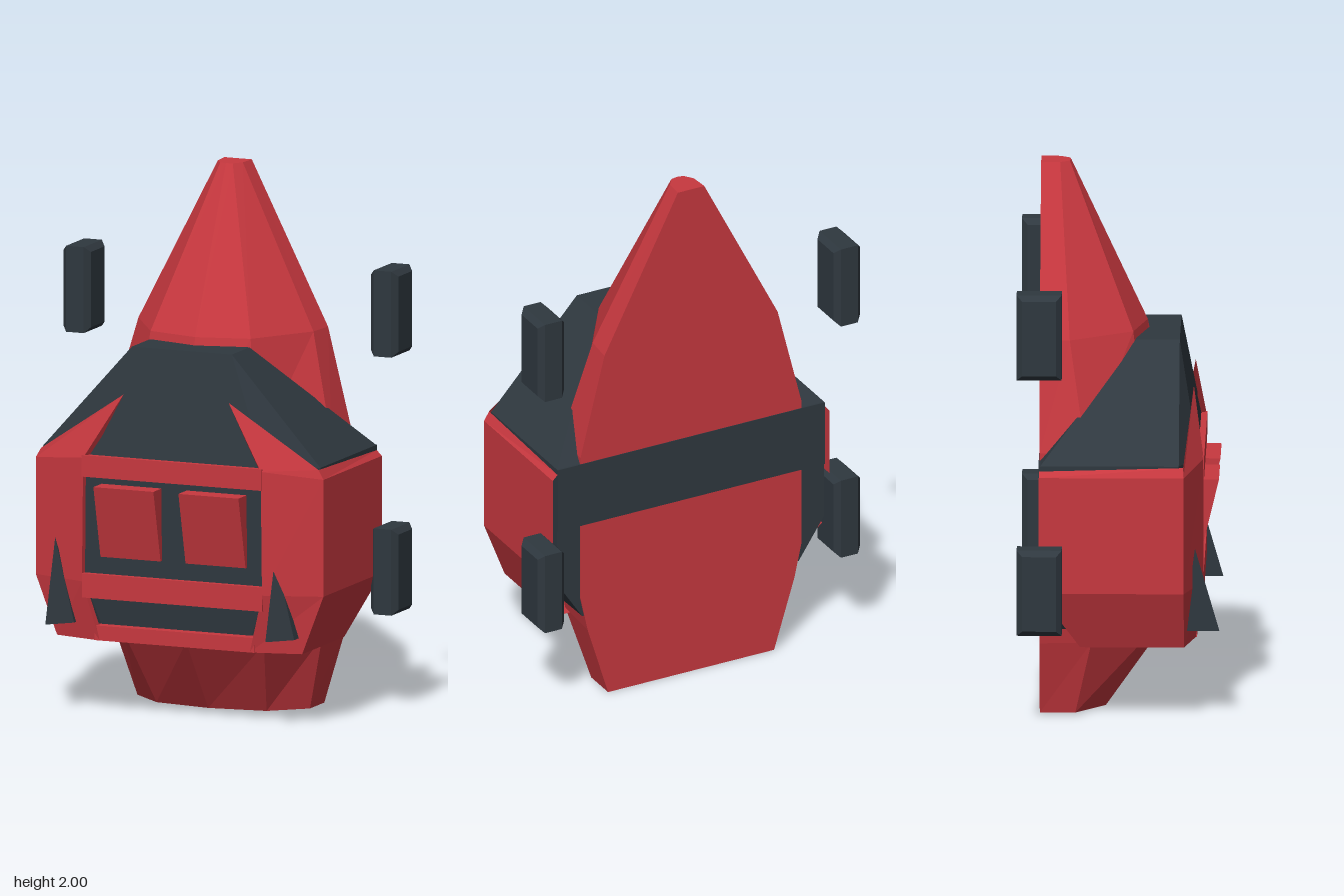
import * as THREE from 'three';
import { ConvexGeometry } from 'three/addons/geometries/ConvexGeometry.js';

const red = new THREE.MeshStandardMaterial({ color: 0xc8383f, side: THREE.DoubleSide });
red.name = 'red paint';
const dark = new THREE.MeshStandardMaterial({ color: 0x2f383f, side: THREE.DoubleSide });
dark.name = 'dark slate';

// Flat-shaded geometry from polygons, each split as a fan
function polygons(faces) {
  const pos = [];
  for (const f of faces) {
    for (let i = 1; i < f.length - 1; i++) pos.push(...f[0], ...f[i], ...f[i + 1]);
  }
  const g = new THREE.BufferGeometry();
  g.setAttribute('position', new THREE.Float32BufferAttribute(pos, 3));
  g.computeVertexNormals();
  return g;
}

// Quads between successive rows of points
function strips(rows) {
  const faces = [];
  for (let r = 0; r < rows.length - 1; r++) {
    const b = rows[r], t = rows[r + 1];
    for (let i = 0; i < b.length - 1; i++) faces.push([b[i + 1], b[i], t[i], t[i + 1]]);
  }
  return faces;
}

const flip = ([x, y, z]) => [-x, y, z];
const mirrorFaces = (faces) => faces.map((f) => f.map(flip).reverse());

// Convex solid, optionally mirrored across x
function solid(points, mirrored) {
  const all = mirrored ? [...points, ...points.map(flip)] : points;
  return new ConvexGeometry(all.map((p) => new THREE.Vector3(...p)));
}

export function createModel() {
  const model = new THREE.Group();
  const add = (name, geometry, material, x = 0, y = 0, z = 0) => {
    const mesh = new THREE.Mesh(geometry, material);
    mesh.name = name;
    mesh.position.set(x, y, z);
    model.add(mesh);
  };
  const box = (name, material, x0, x1, y0, y1, z0, z1) =>
    add(name, new THREE.BoxGeometry(x1 - x0, y1 - y0, z1 - z0), material,
      (x0 + x1) / 2, (y0 + y1) / 2, (z0 + z1) / 2);

  // Tapered hull: half sections [x, z] at each height, flat at the back
  const sections = [
    [0, [[0.345, -0.29], [0.345, -0.16], [0.22, -0.05], [0, -0.02]]],
    [0.28, [[0.43, -0.29], [0.42, -0.1], [0.28, 0.11], [0, 0.18]]],
    [0.42, [[0.46, -0.29], [0.45, -0.1], [0.28, 0.13], [0, 0.21]]],
    [1.0, [[0.46, -0.29], [0.45, -0.12], [0.25, 0.1], [0, 0.18]]],
    [1.4, [[0.36, -0.29], [0.35, -0.18], [0.2, 0.05], [0, 0.1]]],
    [2.0, [[0.055, -0.29], [0.05, -0.22], [0.025, -0.185], [0, -0.18]]],
  ];
  const rings = sections.map(([y, half]) => {
    const right = half.map(([x, z]) => [x, y, z]);
    return [...right, ...right.slice(0, -1).reverse().map(flip)];
  });
  const hullFaces = strips(rings.map((r) => [...r, r[0]]));
  hullFaces.push(rings[0], [...rings[rings.length - 1]].reverse());
  add('hull', polygons(hullFaces), red);

  // Dark cabin with sloping roof and windscreen
  add('cabin', solid([
    [0.45, 0.34, -0.285], [0.46, 0.34, 0.215], [0.3, 0.34, 0.27],
    [0.555, 0.5, -0.285], [0.555, 0.5, 0.222], [0.36, 0.5, 0.288],
    [0.555, 0.975, -0.285], [0.555, 0.975, 0.222], [0.36, 0.97, 0.29],
    [0.2, 1.37, 0.06], [0.2, 1.37, 0.22],
  ], true), dark);
  box('rearBand', dark, -0.555, 0.555, 0.72, 0.975, -0.292, -0.284);

  // Wrap-around fenders with a spike running up beside the windscreen
  const fender = strips([
    [[0.49, 0.28, -0.14], [0.49, 0.28, 0.24], [0.3, 0.28, 0.285], [0.295, 0.28, 0.25]],
    [[0.575, 0.5, -0.29], [0.575, 0.5, 0.24], [0.36, 0.5, 0.31], [0.355, 0.5, 0.27]],
    [[0.575, 0.935, -0.29], [0.575, 0.935, 0.24], [0.355, 0.96, 0.31], [0.35, 0.96, 0.27]],
  ]);
  const tip = [0.21, 1.2, 0.272];
  fender.push(
    [[0.355, 0.96, 0.31], [0.575, 0.935, 0.24], [0.555, 0.97, 0.238], tip],
    [[0.575, 0.935, 0.24], [0.575, 0.935, -0.29], [0.555, 0.955, -0.29], [0.555, 0.97, 0.238]],
    [[0.355, 0.96, 0.31], tip, [0.33, 0.97, 0.28]],
  );
  add('leftFender', polygons(fender), red);
  add('rightFender', polygons(mirrorFaces(fender)), red);
  add('underside', polygons([[
    [0.49, 0.28, -0.14], [0.49, 0.28, 0.24], [0.3, 0.28, 0.285],
    [-0.3, 0.28, 0.285], [-0.49, 0.28, 0.24], [-0.49, 0.28, -0.14],
  ]]), red);

  // Horizontal front bars
  box('lowerBar', red, -0.32, 0.32, 0.28, 0.335, 0.2, 0.285);
  box('middleBar', red, -0.36, 0.36, 0.44, 0.53, 0.25, 0.31);
  box('upperBar', red, -0.36, 0.36, 0.89, 0.97, 0.25, 0.312);

  for (const side of [-1, 1]) {
    // Wedge panels on the front, leaning out at the top
    const wedge = [];
    for (const x of [-0.12, 0.12]) {
      wedge.push([x, 0.595, 0.27], [x, 0.595, 0.3], [x, 0.865, 0.27], [x, 0.865, 0.365]);
    }
    add('frontPanel', solid(wedge), red, side * 0.17);

    // Pointed fangs, the same way round on both sides
    add('fang', solid([
      [0, 0.65, 0.28], [0, 0.34, 0.37], [0.08, 0.34, 0.29], [0, 0.34, 0.24], [0.08, 0.34, 0.24],
      [0.045, 0.45, 0.28],
    ]), dark, side < 0 ? -0.48 : 0.4);

    // Chamfered wheel blocks
    for (const y of [0.52, 1.48]) {
      add('wheel', solid([-1, 1].flatMap((v) => [-1, 1].flatMap((w) => [
        [0.055, v * 0.14, w * 0.062], [0.035, v * 0.16, w * 0.0825],
      ])), true), dark, side * 0.615, y, -0.2875);
    }
  }
  return model;
}
